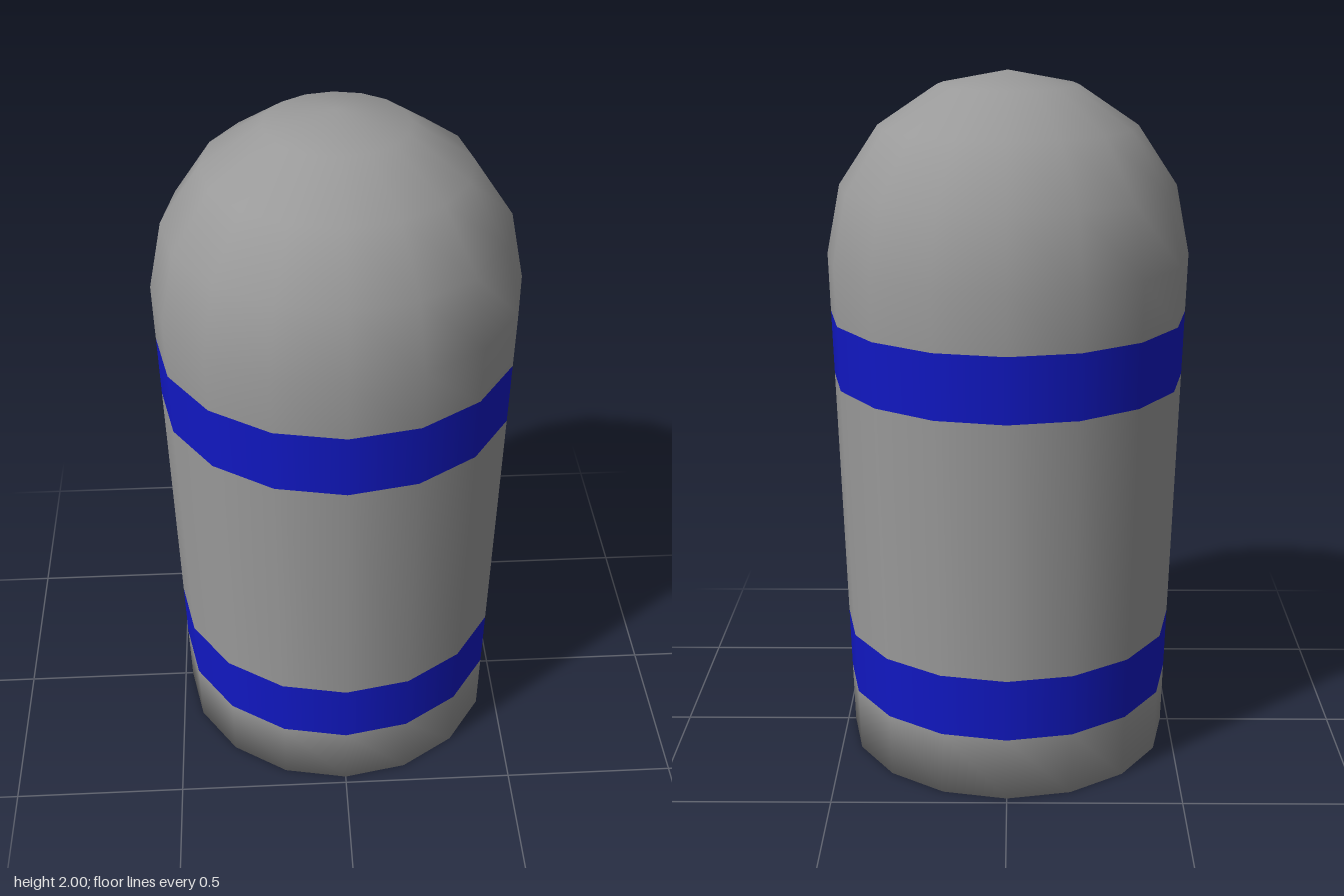
import * as THREE from 'three';

const SIDES = 16;
const BASE_R = 0.477, DOME_R = 0.517, DOME_Y = 2 - DOME_R;
const grey = new THREE.MeshStandardMaterial({ color: 0x9a9a9a });
const blue = new THREE.MeshStandardMaterial({ color: 0x1118c4 });

// Point on the slightly tapered wall at height y
const wall = (y) => [THREE.MathUtils.lerp(BASE_R, DOME_R, y / DOME_Y), y];

// Lathe a profile running from bottom to top, with upright normals at the poles
function turned(name, profile, material) {
  const geometry = new THREE.LatheGeometry(profile.map(([r, y]) => new THREE.Vector2(r, y)), SIDES);
  geometry.normalizeNormals();
  const { position, normal } = geometry.attributes;
  for (let i = 0; i < position.count; i++) {
    if (Math.hypot(position.getX(i), position.getZ(i)) < 1e-4) {
      normal.setXYZ(i, 0, position.getY(i) > 1 ? 1 : -1, 0);
    }
  }
  const mesh = new THREE.Mesh(geometry, material);
  mesh.name = name;
  return mesh;
}

export function createModel() {
  const group = new THREE.Group();
  group.name = 'bollard';

  // Hemispherical cap in four rings
  const dome = [];
  for (let i = 0; i <= 4; i++) {
    const a = (i / 4) * Math.PI / 2;
    dome.push([i === 4 ? 0 : DOME_R * Math.cos(a), DOME_Y + DOME_R * Math.sin(a)]);
  }

  group.add(
    // Foot: flat underside blending softly into the wall
    turned('foot', [[0, 0], [0.32, 0], [BASE_R, 0], wall(0.188)], grey),
    turned('lowerBand', [wall(0.188), wall(0.373)], blue),
    turned('middleBody', [wall(0.373), wall(1.128)], grey),
    turned('upperBand', [wall(1.128), wall(1.315)], blue),
    turned('domeTop', [wall(1.315), ...dome], grey)
  );
  return group;
}
